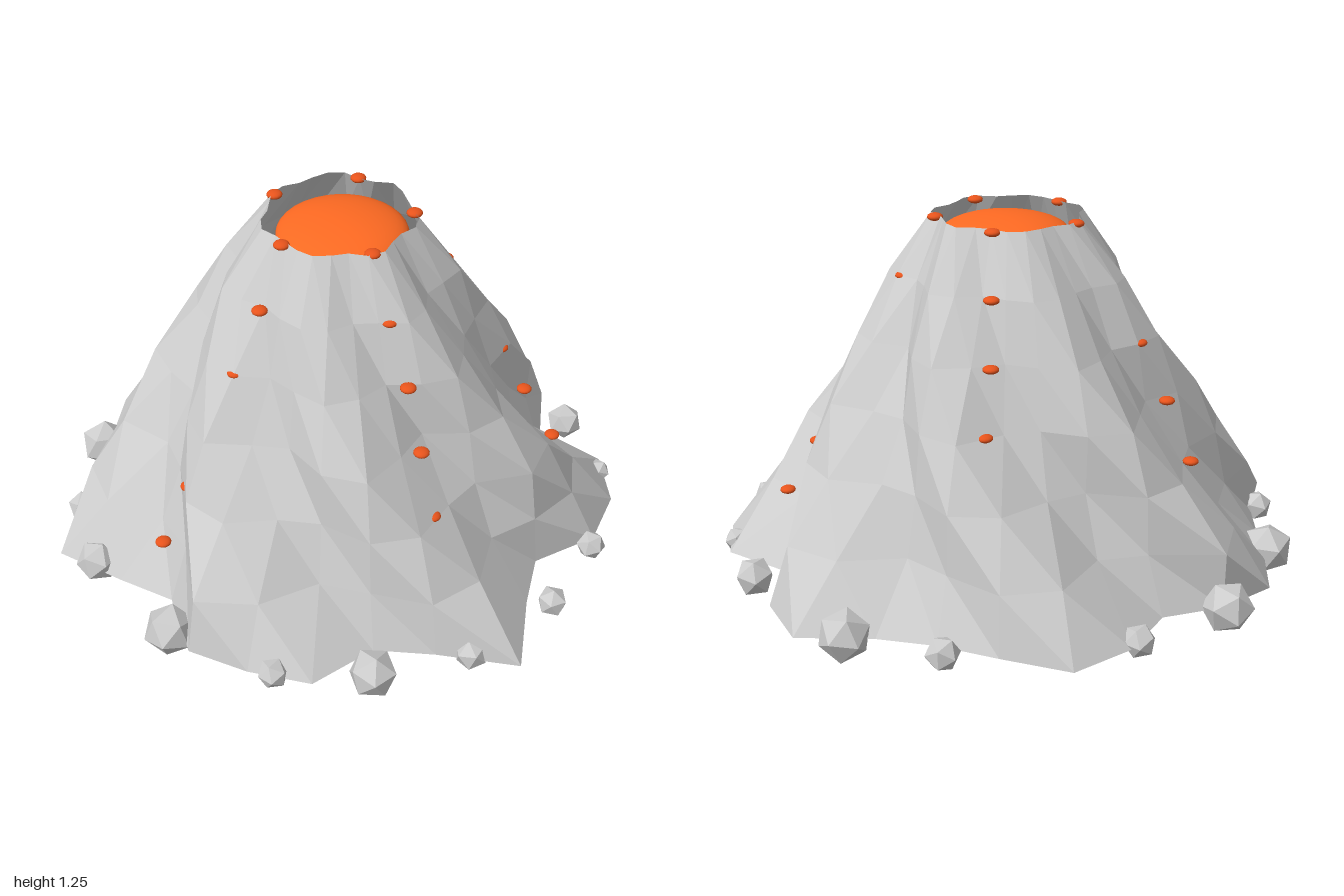
import * as THREE from 'three';

const SIDES = 28;
const LOBES = 7;
// Rings from foot to rim: height, mean radius, ridge depth
const RINGS = [
  [0.09, 0.935, 0.1], [0.28, 0.80, 0.095], [0.475, 0.685, 0.085], [0.67, 0.58, 0.07],
  [0.865, 0.478, 0.05], [1.06, 0.37, 0.03], [1.255, 0.25, 0.015],
];
// Radii around the foot, from the front towards +x
const FOOT = [
  0.96, 0.97, 0.83, 0.90, 1.07, 0.88, 0.80, 0.95, 1.0, 0.99, 0.83, 0.97, 1.04, 0.90,
  0.87, 0.92, 1.02, 0.94, 0.82, 0.91, 0.975, 0.91, 0.885, 0.905, 1.04, 0.90, 0.82, 0.96,
];

function seeded(seed) {
  return () => {
    seed = (seed * 16807) % 2147483647;
    return seed / 2147483647;
  };
}

// Open faceted mountain wall whose seven ridges spiral up to the rim
function mountainGeometry() {
  const rand = seeded(7321);
  const pos = [], index = [];
  RINGS.forEach(([y, mean, depth], j) => {
    for (let i = 0; i < SIDES; i++) {
      const a = (i / SIDES) * Math.PI * 2;
      const ridge = Math.cos(LOBES * a + 6 * (y - 0.09)) * depth;
      const rough = (rand() - 0.5) * 0.075 * mean;
      const r = j === 0 ? FOOT[i] : mean + ridge + rough;
      pos.push(r * Math.sin(a), y, r * Math.cos(a));
    }
  });
  for (let j = 0; j < RINGS.length - 1; j++) {
    for (let i = 0; i < SIDES; i++) {
      const k = (i + 1) % SIDES;
      const a = j * SIDES + i, b = j * SIDES + k, c = a + SIDES, d = b + SIDES;
      index.push(a, b, c, b, d, c);
    }
  }
  const g = new THREE.BufferGeometry();
  g.setAttribute('position', new THREE.Float32BufferAttribute(pos, 3));
  g.setIndex(index);
  const flat = g.toNonIndexed();
  flat.computeVertexNormals();
  return flat;
}

export function createModel() {
  const model = new THREE.Group();
  const stone = new THREE.MeshStandardMaterial({ color: 0xcccccc, flatShading: true });
  const wall = new THREE.MeshStandardMaterial({ color: 0xcccccc, flatShading: true, side: THREE.DoubleSide });
  const lava = new THREE.MeshStandardMaterial({ color: 0xff6a22 });
  const ember = new THREE.MeshStandardMaterial({ color: 0xe8541c });

  const add = (name, geometry, material, x, y, z, parent = model) => {
    const mesh = new THREE.Mesh(geometry, material);
    mesh.name = name;
    mesh.position.set(x, y, z);
    parent.add(mesh);
    return mesh;
  };

  add('mountain', mountainGeometry(), wall, 0, 0, 0);

  // Lava pool in the crater
  add('lavaPool', new THREE.SphereGeometry(0.22, 32, 20), lava, 0.015, 1.185, 0).scale.y = 0.3;

  // Five streams of lava drops, some sunk in the wall: angle in degrees at each ring down from the rim
  const streams = [
    [182, 185.6, 187.6, 187, 187, 187],
    [112, 115, 115, 114, 114, 111.3],
    [43.5, 44.5, 46, 45.7, 45, 45],
    [332, 334, 333, 331, 330, 329],
    [255.4, 258, 260, 261, 259, 259],
  ];
  const dropRadii = [0.25, 0.362, 0.472, 0.572, 0.67, 0.78];
  const dropGeometry = new THREE.SphereGeometry(0.027, 14, 10);
  streams.forEach((angles) => {
    const stream = new THREE.Group();
    stream.name = 'lavaStream';
    model.add(stream);
    angles.forEach((degrees, n) => {
      const a = THREE.MathUtils.degToRad(degrees);
      const r = dropRadii[n];
      const y = 1.248 - n * 0.1925;
      add('lavaDrop', dropGeometry, ember, r * Math.sin(a), y, r * Math.cos(a), stream).scale.y = 0.5;
    });
  });

  // Boulders around the foot: x, z, radius
  const boulders = [
    [-0.035, -0.93, 0.058], [0.295, -0.9, 0.088], [-0.6, -0.7, 0.055], [0.725, -0.6, 0.068],
    [-0.835, -0.41, 0.088], [0.9, -0.35, 0.045], [-0.91, 0.06, 0.09], [0.95, 0.05, 0.052],
    [-0.835, 0.41, 0.056], [0.875, 0.36, 0.053], [-0.67, 0.65, 0.075], [0.67, 0.67, 0.057],
    [-0.305, 0.875, 0.09], [0.39, 0.85, 0.083], [0.085, 0.95, 0.052],
  ];
  boulders.forEach(([x, z, r], i) => {
    const rock = add('boulder', new THREE.IcosahedronGeometry(r, 0), stone, x, 0.102, z);
    rock.rotation.set(i * 0.7, i * 1.3, i * 0.4);
  });

  return model;
}
